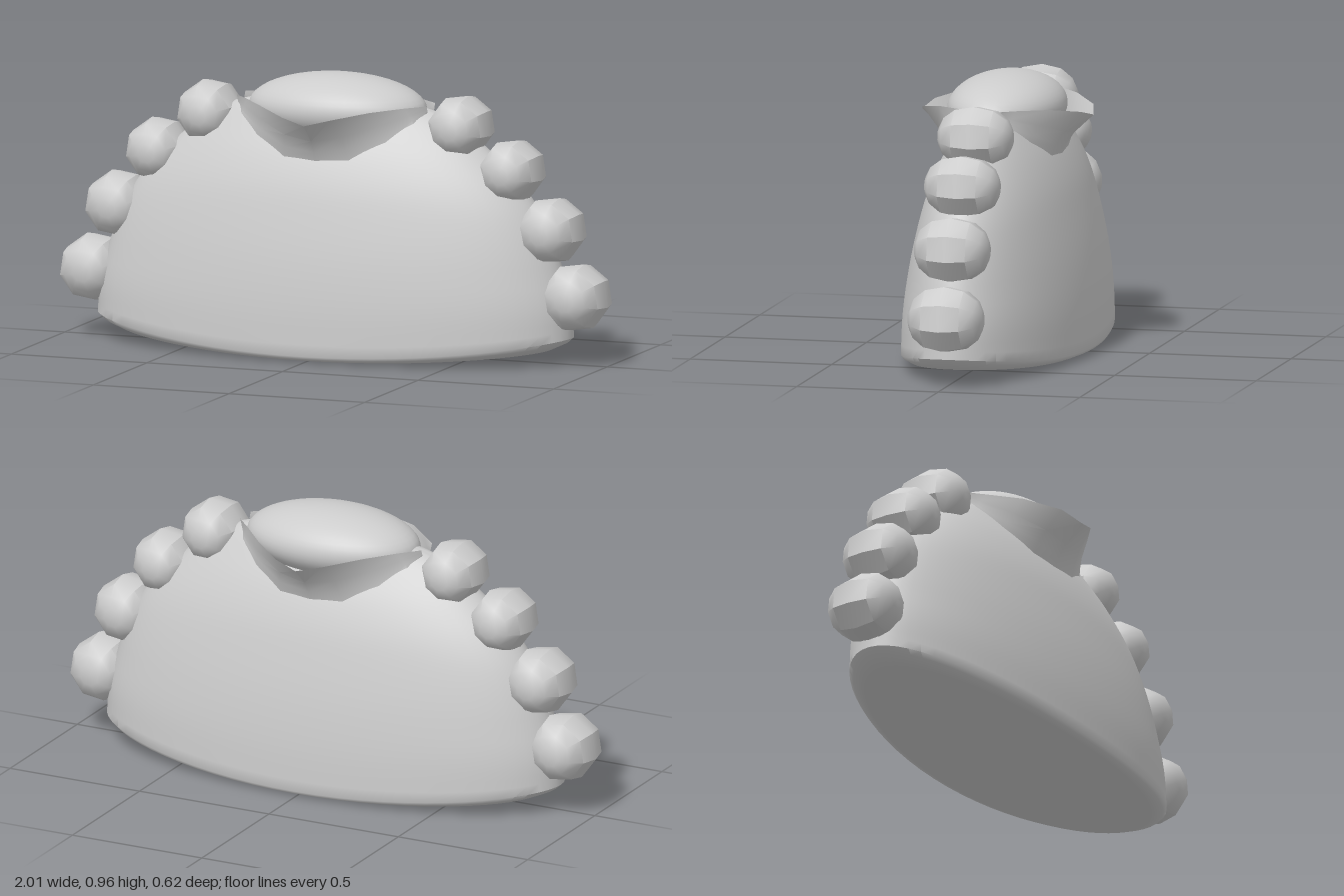
import * as THREE from 'three';
import { toCreasedNormals } from 'three/addons/utils/BufferGeometryUtils.js';

// Skin a grid of cross-sections (rows run upward)
function loft(rows, crease) {
  const n = rows[0].length;
  const position = rows.flat().flatMap((p) => [p.x, p.y, p.z]);
  const index = [];
  for (let i = 0; i < rows.length - 1; i++) {
    for (let j = 0; j < n - 1; j++) {
      const a = i * n + j, b = a + n;
      index.push(a, b, a + 1, b, b + 1, a + 1);
    }
  }
  const g = new THREE.BufferGeometry();
  g.setAttribute('position', new THREE.Float32BufferAttribute(position, 3));
  g.setIndex(index);
  return toCreasedNormals(g, crease);
}

// Elliptical ring; lift raises its two ends in x
function ring(a, b, y, lift = 0) {
  const pts = [];
  for (let j = 0; j <= 64; j++) {
    const t = (j % 64) / 64 * Math.PI * 2;
    const x = a * Math.cos(t);
    pts.push(new THREE.Vector3(x, y + lift * (x / 0.87) ** 2, b * Math.sin(t)));
  }
  return pts;
}

export function createModel() {
  const group = new THREE.Group();
  const grey = new THREE.MeshStandardMaterial({ color: 0xcccccc, side: THREE.DoubleSide });
  grey.name = 'light grey';
  const add = (name, geometry) => {
    const mesh = new THREE.Mesh(geometry, grey);
    mesh.name = name;
    group.add(mesh);
    return mesh;
  };

  // Body: flattened ellipses (half width, half depth, height)
  const profile = new THREE.CatmullRomCurve3([
    [0.87, 0.312, 0.022], [0.862, 0.305, 0.18], [0.825, 0.285, 0.34], [0.76, 0.252, 0.5],
    [0.69, 0.225, 0.6], [0.59, 0.185, 0.7], [0.49, 0.14, 0.78], [0.39, 0.1, 0.84], [0.3, 0.07, 0.865],
  ].map((p) => new THREE.Vector3(...p)));
  const rows = [ring(0, 0, 0), ring(0.4, 0.14, 0.001, 0.05), ring(0.79, 0.285, 0.004, 0.05), ring(0.85, 0.306, 0.012, 0.064)];
  for (let i = 0; i <= 32; i++) {
    const p = profile.getPoint(i / 32);
    rows.push(ring(p.x, p.y, p.z, 0.075 * Math.max(0, 1 - p.z / 0.3)));
  }
  rows.push(ring(0, 0, 0.87));
  add('body', loft(rows, 0.75));

  // Collar: two flared lips around the opening
  const foot = [[0, 0.68, 0.19], [0.12, 0.692, 0.184], [0.24, 0.75, 0.136], [0.32, 0.81, 0.08], [0.35, 0.85, 0.03]];
  const rim = [[0, 0.822, 0.303], [0.09, 0.844, 0.28], [0.2, 0.864, 0.195], [0.29, 0.87, 0.1], [0.35, 0.872, 0.04]];
  const lip = [0, 0.25, 0.55, 1].map((t) => {
    const half = foot.map((f, i) => {
      const p = new THREE.Vector3(...f).lerp(new THREE.Vector3(...rim[i]), t);
      p.z -= 0.07 * t * (1 - t) * (1 - i / 4);
      return p;
    });
    const other = half.slice(1).map((p) => new THREE.Vector3(-p.x, p.y, p.z));
    return [...half.reverse(), ...other];
  });
  const lipGeometry = loft(lip, 0.6);
  add('frontCollar', lipGeometry);
  add('backCollar', lipGeometry).rotation.y = Math.PI;

  // Filling: soft dome in the opening
  const dome = add('filling', new THREE.SphereGeometry(1, 40, 24));
  dome.scale.set(0.32, 0.12, 0.198);
  dome.position.set(0.008, 0.845, 0);

  // Beads: eight-sided barrels along both edges
  const beadProfile = [[0, -0.128], [0.035, -0.128], [0.072, -0.11], [0.106, -0.068], [0.12, 0],
    [0.106, 0.068], [0.072, 0.11], [0.035, 0.128], [0, 0.128]].map((p) => new THREE.Vector2(...p));
  const bead = toCreasedNormals(new THREE.LatheGeometry(beadProfile, 8).rotateX(Math.PI / 2), 0.72);
  const beads = [[0.888, 0.235, 1], [0.797, 0.462, 0.98], [0.652, 0.66, 0.93], [0.463, 0.803, 0.93]];
  for (const side of [1, -1]) {
    for (const [x, y, s] of beads) {
      const mesh = add(side > 0 ? 'leftBead' : 'rightBead', bead);
      mesh.position.set(side * x, y, 0);
      mesh.scale.set(s, s, 1);
      mesh.rotation.z = -side * 0.24;
    }
  }
  return group;
}
